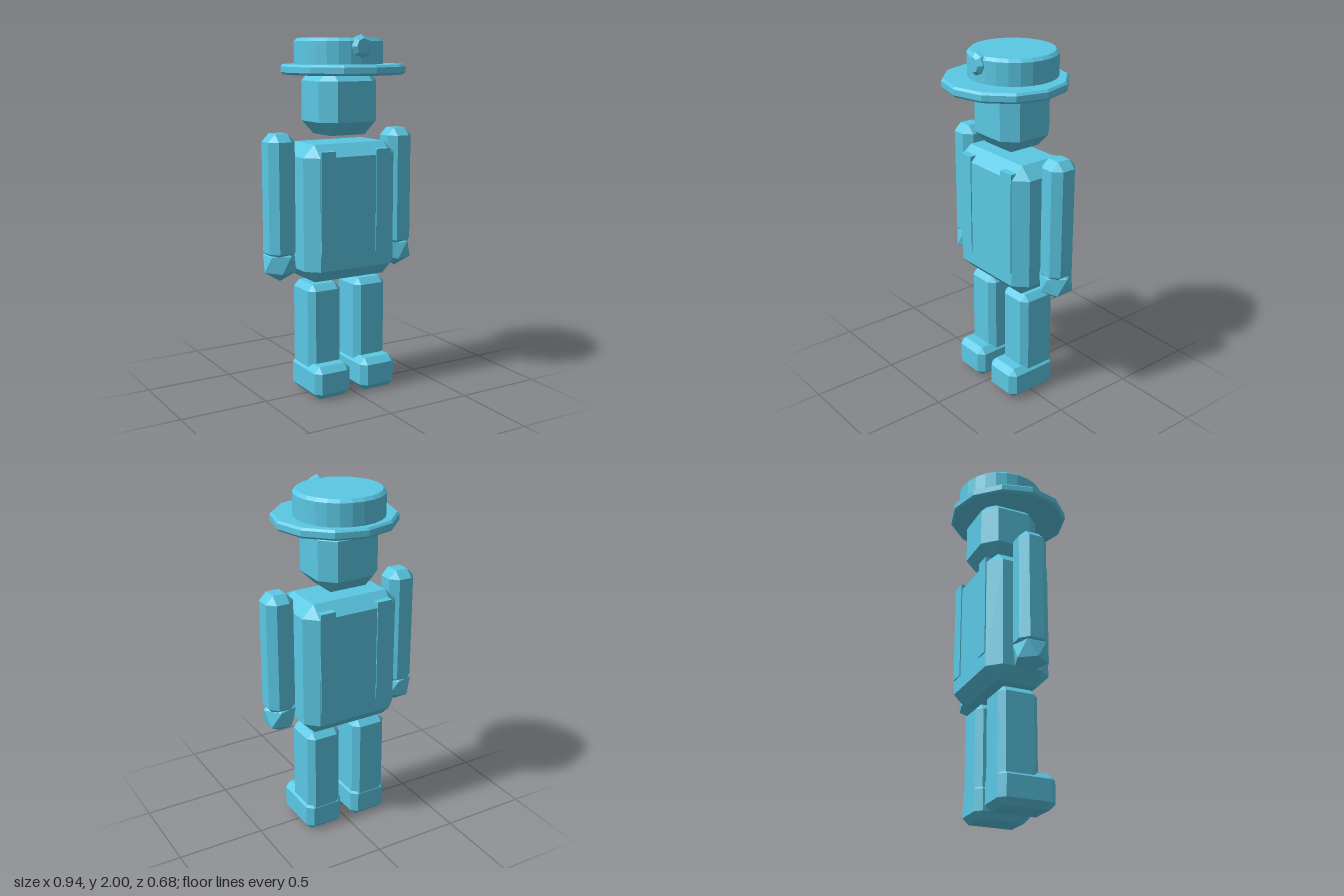
import * as THREE from 'three';
import { ConvexGeometry } from 'three/addons/geometries/ConvexGeometry.js';

const material = new THREE.MeshStandardMaterial({ color: 0x5bc8e4, flatShading: true });
const MID_Z = -0.045;

// Box with every edge chamfered by c, given as [min, max] ranges
function chamferBox([x0, x1], [y0, y1], [z0, z1], c) {
  const half = [(x1 - x0) / 2, (y1 - y0) / 2, (z1 - z0) / 2];
  const points = [];
  for (const sx of [-1, 1]) for (const sy of [-1, 1]) for (const sz of [-1, 1]) {
    for (let axis = 0; axis < 3; axis++) {
      const p = half.map((h, i) => (i === axis ? h : h - c));
      points.push(new THREE.Vector3(sx * p[0], sy * p[1], sz * p[2]));
    }
  }
  return new ConvexGeometry(points).translate((x0 + x1) / 2, (y0 + y1) / 2, (z0 + z1) / 2);
}

function turned(profile, sides) {
  return new THREE.LatheGeometry(profile.map(([r, y]) => new THREE.Vector2(r, y)), sides);
}

export function createModel() {
  const model = new THREE.Group();
  model.name = 'hattedFigure';

  const add = (name, geometry, parent = model) => {
    const mesh = new THREE.Mesh(geometry, material);
    mesh.name = name;
    parent.add(mesh);
    return mesh;
  };

  // Head and torso
  add('head', chamferBox([-0.183, 0.183], [1.46, 1.83], [-0.217, 0.127], 0.075));
  add('torso', chamferBox([-0.29, 0.29], [0.66, 1.42], [-0.23, 0.138], 0.068));

  // Hat: twelve-sided brim and a rounder crown set slightly back
  const hat = new THREE.Group();
  hat.name = 'hat';
  model.add(hat);
  add('brim', turned([[0, 1.79], [0.33, 1.79], [0.342, 1.802], [0.342, 1.833], [0.33, 1.845], [0, 1.845]], 12), hat);
  add('crown', turned([[0.245, 1.82], [0.245, 1.968], [0.228, 1.985], [0, 1.985]], 24), hat)
    .position.z = -0.05;

  // Round badge on the front of the crown
  const badge = add('hatBadge', turned([[0, -0.035], [0.045, -0.03], [0.06, -0.015], [0.06, 0.012], [0.042, 0.032], [0, 0.032]], 8), hat);
  badge.rotation.x = Math.PI / 2;
  badge.position.set(0, 1.94, 0.185);

  for (const [side, s] of [['left', 1], ['right', -1]]) {
    const span = (a, b) => (s > 0 ? [a, b] : [-b, -a]);

    // Shoulder strap running through the torso, just proud of both faces
    add(side + 'Strap', new THREE.BoxGeometry(0.09, 0.575, 0.38).translate(s * 0.175, 1.0975, -0.046));

    // Arm and faceted hand
    add(side + 'Arm', chamferBox(span(0.3, 0.46), [0.785, 1.48], [-0.127, 0.037], 0.043));
    const hand = new THREE.IcosahedronGeometry(0.103, 0);
    hand.rotateZ(-Math.atan(2 / (1 + Math.sqrt(5)))); // stand it on a corner
    add(side + 'Hand', hand.translate(s * 0.38, 0.766, MID_Z));

    // Leg and foot
    add(side + 'Leg', chamferBox(span(0.045, 0.25), [0.1, 0.637], [-0.158, 0.07], 0.034));
    add(side + 'Foot', chamferBox(span(0.035, 0.262), [0, 0.187], [-0.16, 0.162], 0.034));
  }

  return model;
}
